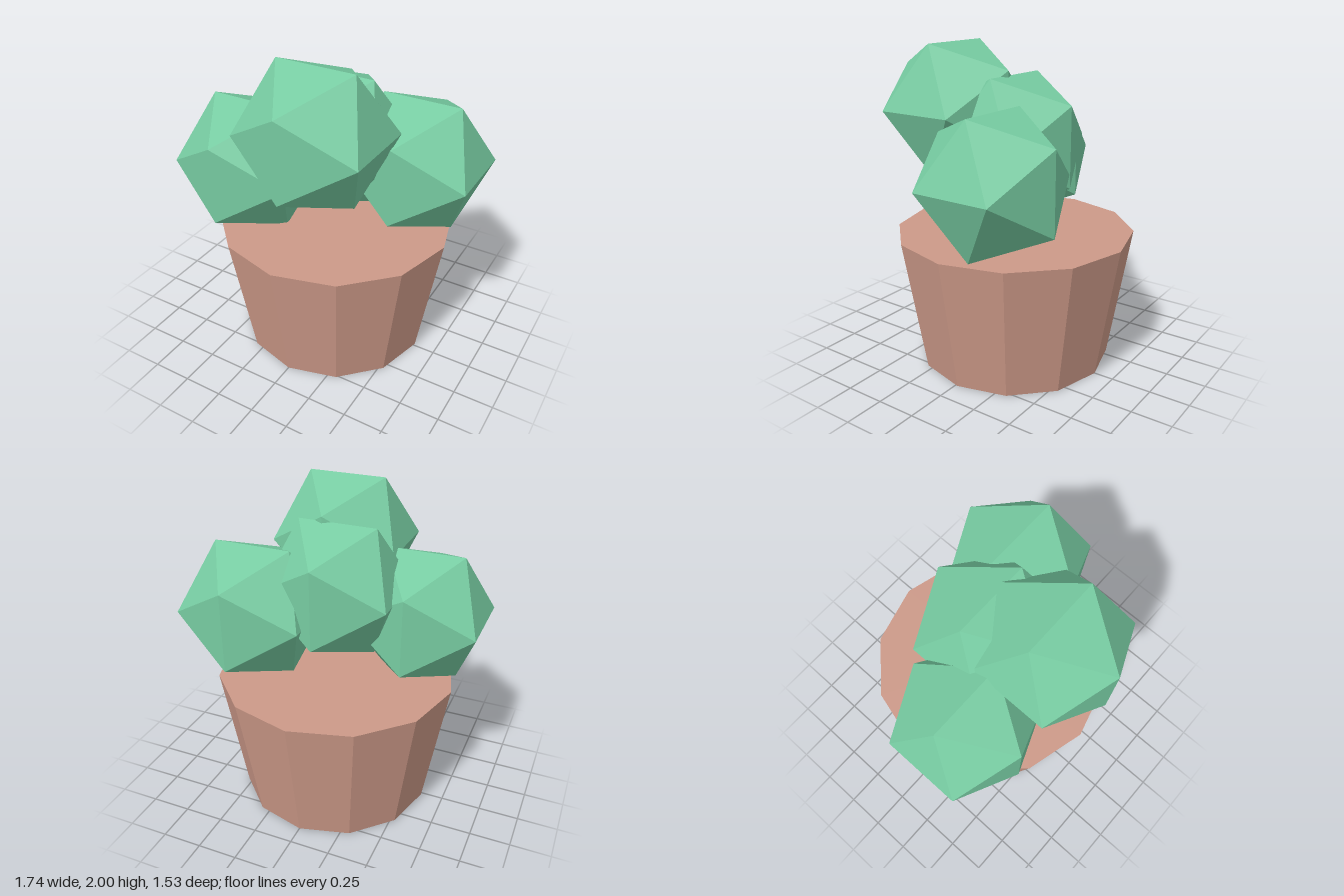
import * as THREE from 'three';

export function createModel() {
  const model = new THREE.Group();
  model.name = 'pottedPlant';
  const clay = new THREE.MeshStandardMaterial({ color: 0xcc9988, flatShading: true });
  const leaf = new THREE.MeshStandardMaterial({ color: 0x77cca2, flatShading: true });

  // Tapered twelve-sided pot, closed at both ends
  const potHeight = 0.845;
  const pot = new THREE.Mesh(new THREE.CylinderGeometry(0.75, 0.61, potHeight, 12), clay);
  pot.name = 'pot';
  pot.position.set(0, potHeight / 2, -0.015);
  model.add(pot);

  // Cluster of equal icosahedral foliage clumps
  const foliage = new THREE.Group();
  foliage.name = 'foliage';
  const clumpGeometry = new THREE.IcosahedronGeometry(0.47, 0);
  const clumps = {
    frontClump: [0.092, 1.6, 0.367],
    rightClump: [-0.47, 1.225, 0.22],
    leftClump: [0.467, 1.275, -0.2],
    middleClump: [0, 1.415, -0.013],
  };
  for (const [name, position] of Object.entries(clumps)) {
    const clump = new THREE.Mesh(clumpGeometry, leaf);
    clump.name = name;
    clump.position.set(...position);
    foliage.add(clump);
  }
  model.add(foliage);

  return model;
}
